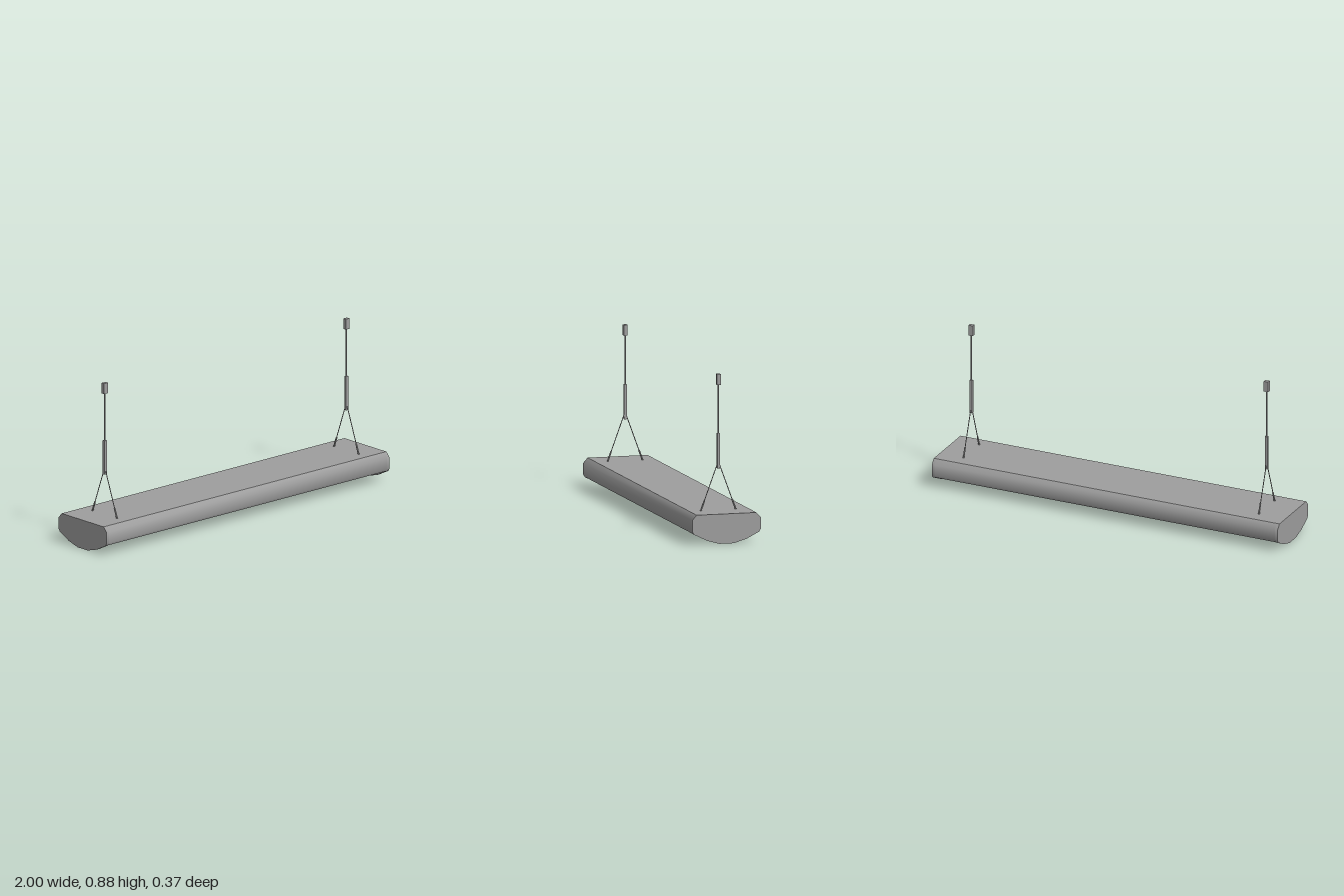
import * as THREE from 'three';
import { toCreasedNormals } from 'three/addons/utils/BufferGeometryUtils.js';

const grey = new THREE.MeshStandardMaterial({ color: 0x9e9e9e, side: THREE.DoubleSide });

function add(parent, name, geometry, x = 0, y = 0, z = 0) {
  const mesh = new THREE.Mesh(geometry, grey);
  mesh.name = name;
  mesh.position.set(x, y, z);
  parent.add(mesh);
  return mesh;
}

// Closed outline from one half [z, y], mirrored to the other side
function mirroredShape(half) {
  const other = half.map(([z, y]) => [-z, y]).reverse();
  return new THREE.Shape([...half, ...other].map(([z, y]) => new THREE.Vector2(z, y)));
}

// Extrude a z-y outline along x, centred on x = 0
function extrudeAlongX(shape, length) {
  const geometry = new THREE.ExtrudeGeometry(shape, { depth: length, bevelEnabled: false });
  geometry.translate(0, 0, -length / 2);
  geometry.rotateY(Math.PI / 2);
  return toCreasedNormals(geometry, 0.8);
}

// Thin cylinder between two points
function rod(parent, name, from, to, radius, sides) {
  const direction = to.clone().sub(from);
  const mesh = add(parent, name, new THREE.CylinderGeometry(radius, radius, direction.length(), sides));
  mesh.position.copy(from).add(to).multiplyScalar(0.5);
  mesh.quaternion.setFromUnitVectors(new THREE.Vector3(0, 1, 0), direction.normalize());
}

function createHanger(x, name) {
  const hanger = new THREE.Group();
  hanger.name = name;
  hanger.position.set(x, 0, 0.004);
  add(hanger, 'ceilingMount', new THREE.BoxGeometry(0.026, 0.057, 0.02), 0, 0.849, 0);
  rod(hanger, 'suspensionRod', new THREE.Vector3(0, 0.55, 0), new THREE.Vector3(0, 0.83, 0), 0.004, 8);
  add(hanger, 'cableAdjuster', new THREE.BoxGeometry(0.016, 0.185, 0.014), 0, 0.47, 0);

  // Forked cables and the clips that hold them to the housing
  for (const side of [-1, 1]) {
    const top = new THREE.Vector3(0, 0.405, side * 0.004);
    const foot = new THREE.Vector3(0, 0.155, side * 0.096);
    rod(hanger, 'forkCable', foot, top, 0.0023, 6);
    rod(hanger, 'cableClip', foot, foot.clone().lerp(top, 0.22), 0.0045, 8);
  }
  return hanger;
}

export function createModel() {
  const lamp = new THREE.Group();
  lamp.name = 'hangingLamp';

  // Channel housing: outer skin down to the open edge, then the reflector inside
  const housing = mirroredShape([
    [0.163, 0.157], [0.187, 0.13], [0.187, 0.07], [0.18, 0.057], [0.175, 0.058], [0.13, 0.1],
  ]);
  add(lamp, 'housing', extrudeAlongX(housing, 1.97));

  // End plates reach below the housing
  const plate = mirroredShape([
    [0.163, 0.157], [0.187, 0.13], [0.187, 0.07], [0.178, 0.055], [0.108, 0.02], [0.042, 0.001], [0.04, 0],
  ]);
  for (const side of [-1, 1]) {
    add(lamp, 'endPlate', extrudeAlongX(plate, 0.016), side * 0.992);
  }

  // Two light tubes
  for (const side of [-1, 1]) {
    const tube = add(lamp, 'lightTube', new THREE.CylinderGeometry(0.024, 0.024, 1.97, 20), 0, 0.062, side * 0.065);
    tube.rotation.z = Math.PI / 2;
  }

  lamp.add(createHanger(-0.847, 'rightHanger'), createHanger(0.862, 'leftHanger'));
  return lamp;
}
